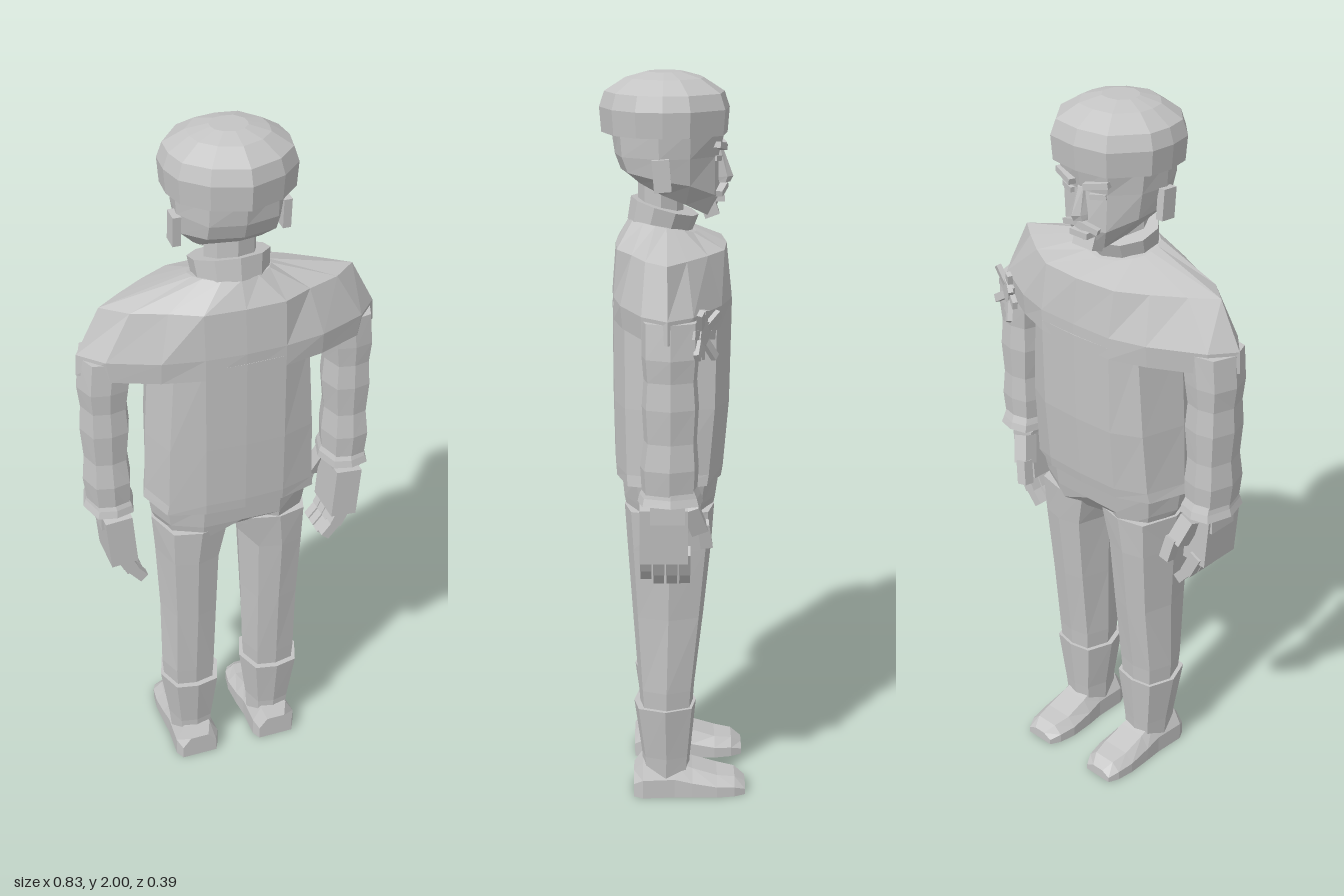
import * as THREE from 'three';

const grey = new THREE.MeshStandardMaterial({ color: 0xc4c4c4, flatShading: true });
grey.name = 'plain grey';

function part(name, geometry, parent) {
  const flat = geometry.index ? geometry.toNonIndexed() : geometry;
  flat.computeVertexNormals();
  const mesh = new THREE.Mesh(flat, grey);
  mesh.name = name;
  parent.add(mesh);
  return mesh;
}

// skin over closed rings of [x, y, z] points, capped at both ends
function loft(name, rings, parent) {
  const n = rings[0].length, pos = rings.flat(2), idx = [];
  for (let i = 0; i < rings.length - 1; i++)
    for (let j = 0; j < n; j++) {
      const a = i * n + j, b = i * n + (j + 1) % n;
      idx.push(a, b, b + n, a, b + n, a + n);
    }
  [0, rings.length - 1].forEach((r, end) => {
    const c = pos.length / 3;
    for (let k = 0; k < 3; k++) pos.push(rings[r].reduce((s, p) => s + p[k], 0) / n);
    for (let j = 0; j < n; j++) {
      const a = r * n + j, b = r * n + (j + 1) % n;
      idx.push(...(end ? [a, b, c] : [b, a, c]));
    }
  });
  const g = new THREE.BufferGeometry();
  g.setAttribute('position', new THREE.Float32BufferAttribute(pos, 3));
  g.setIndex(idx);
  return part(name, g, parent);
}

// symmetric ring from its +x half, listed from +z to -z
const both = (half) => [...half, ...half.slice(1, -1).reverse().map(([x, y, z]) => [-x, y, z])];
const level = (y, half) => both(half.map(([x, z]) => [x, y, z]));

// eight-sided ring filling x0..x1 and z0..z1
function oval(y, x0, x1, z0, z1) {
  const k = 0.5;
  return [[0, 1], [0.7, 0.85], [1, k - 0.5], [0.7, -0.85], [0, -1], [-0.7, -0.85], [-1, 0], [-0.7, 0.85]]
    .map(([u, v]) => [(x0 + x1) / 2 + u * (x1 - x0) / 2, y, (z0 + z1) / 2 + v * (z1 - z0) / 2]);
}

function box(name, size, at, rot, parent) {
  const g = new THREE.BoxGeometry(...size);
  g.applyMatrix4(new THREE.Matrix4().makeRotationFromEuler(new THREE.Euler(...rot)));
  g.translate(...at);
  return part(name, g, parent);
}

// copy of a side, mirrored in x with the corner order turned round
function mirrored(group, name) {
  const copy = new THREE.Group();
  copy.name = name;
  for (const m of group.children) {
    const g = m.geometry.clone().scale(-1, 1, 1), p = g.attributes.position;
    for (let i = 0; i < p.count; i += 3) {
      const b = new THREE.Vector3().fromBufferAttribute(p, i + 1);
      const c = new THREE.Vector3().fromBufferAttribute(p, i + 2);
      p.setXYZ(i + 1, c.x, c.y, c.z);
      p.setXYZ(i + 2, b.x, b.y, b.z);
    }
    part(m.name, g, copy);
  }
  return copy;
}

function addTorso(model) {
  const body = (y, w, zb, zf) => level(y, [[0, zb], [0.11, zb - 0.005], [w - 0.035, zb - 0.035], [w, 0.02],
    [w - 0.035, zf + 0.045], [0.12, zf + 0.005], [0, zf]]);
  loft('jacket', [body(0.94, 0.245, 0.16, -0.13), body(0.97, 0.24, 0.162, -0.135), body(1.15, 0.235, 0.165, -0.15),
    body(1.4, 0.22, 0.165, -0.155)], model);
  // shoulders spread from the chest to the sleeves
  loft('shoulders', [
    level(1.37, [[0, 0.163], [0.11, 0.16], [0.22, 0.135], [0.34, 0.085], [0.413, 0.02], [0.36, -0.04], [0.22, -0.115], [0.12, -0.15], [0, -0.153]]),
    level(1.43, [[0, 0.165], [0.11, 0.16], [0.22, 0.14], [0.35, 0.085], [0.41, 0.02], [0.36, -0.045], [0.22, -0.12], [0.12, -0.15], [0, -0.153]]),
    level(1.555, [[0, 0.155], [0.11, 0.15], [0.19, 0.11], [0.28, 0.075], [0.345, 0.02], [0.28, -0.03], [0.2, -0.085], [0.12, -0.13], [0, -0.14]]),
    both([[0, 1.62, 0.12], [0.05, 1.62, 0.11], [0.09, 1.62, 0.08], [0.105, 1.615, 0.05], [0.11, 1.61, 0.02],
      [0.105, 1.605, 0], [0.09, 1.60, -0.025], [0.05, 1.59, -0.05], [0, 1.585, -0.06]]),
  ], model);
  // collar leans forward
  const collar = new THREE.CylinderGeometry(0.108, 0.1, 0.06, 10);
  collar.scale(1, 1, 0.86).rotateX(-0.27).translate(0, 1.625, 0.032);
  part('collar', collar, model);
  const neck = new THREE.CylinderGeometry(0.07, 0.07, 0.16, 8);
  neck.scale(1, 1, 0.85).translate(0, 1.66, 0.035);
  part('neck', neck, model);
}

function addHead(model) {
  const head = new THREE.Group();
  head.name = 'head';
  loft('face', [
    both([[0, 1.72, 0.1], [0.06, 1.72, 0.09], [0.08, 1.69, 0.03], [0.075, 1.665, -0.03], [0.045, 1.635, -0.085], [0, 1.625, -0.1]]),
    both([[0, 1.75, 0.14], [0.09, 1.75, 0.12], [0.132, 1.735, 0.04], [0.12, 1.72, -0.04], [0.07, 1.69, -0.105], [0, 1.68, -0.125]]),
    level(1.79, [[0, 0.155], [0.09, 0.135], [0.142, 0.04], [0.132, -0.04], [0.075, -0.105], [0, -0.12]]),
    level(1.86, [[0, 0.165], [0.09, 0.14], [0.147, 0.04], [0.14, -0.04], [0.085, -0.115], [0, -0.135]]),
  ], head);
  const outline = [[0, 0.195], [0.095, 0.16], [0.155, 0.1], [0.17, 0.03], [0.165, -0.04], [0.095, -0.13], [0, -0.145]];
  loft('cap', [[1.845, 0.97], [1.91, 1], [1.95, 0.92], [1.985, 0.6], [2, 0.28]].map(([y, s]) =>
    level(y, outline.map(([x, z]) => [x * s, 0.025 + (z - 0.025) * s]))), head);
  // nose, moustache, lips and beard
  loft('nose', [
    level(1.715, [[0, -0.1], [0.024, -0.11], [0.018, -0.135], [0, -0.148]]),
    level(1.73, [[0, -0.1], [0.024, -0.11], [0.016, -0.14], [0, -0.156]]),
    level(1.80, [[0, -0.1], [0.012, -0.11], [0.01, -0.122], [0, -0.13]]),
  ], head);
  box('lips', [0.06, 0.016, 0.03], [0, 1.675, -0.118], [0, 0, 0], head);
  box('beard', [0.07, 0.035, 0.04], [0, 1.645, -0.095], [0.35, 0, 0], head);
  for (const s of [1, -1]) {
    box('ear', [0.022, 0.082, 0.045], [s * 0.146, 1.75, 0.033], [0.08, 0, 0], head);
    box('brow', [0.07, 0.016, 0.03], [s * 0.052, 1.815, -0.115], [0, s * -0.3, s * 0.2], head);
    box('eye', [0.045, 0.014, 0.02], [s * 0.05, 1.783, -0.108], [0, s * -0.35, s * 0.1], head);
    box('moustache', [0.06, 0.015, 0.03], [s * 0.028, 1.7, -0.12], [0, s * -0.3, s * -0.3], head);
  }
  model.add(head);
}

function makeArm() {
  const arm = new THREE.Group();
  arm.name = 'leftArm';
  loft('sleeve', [oval(0.95, 0.283, 0.4, -0.055, 0.085), oval(1.04, 0.278, 0.41, -0.06, 0.09),
    oval(1.11, 0.285, 0.403, -0.055, 0.08), oval(1.2, 0.275, 0.41, -0.06, 0.085), oval(1.27, 0.28, 0.405, -0.055, 0.08),
    oval(1.33, 0.27, 0.412, -0.06, 0.085), oval(1.42, 0.255, 0.405, -0.06, 0.085)], arm);
  loft('cuff', [oval(0.945, 0.272, 0.412, -0.072, 0.097), oval(0.965, 0.275, 0.405, -0.066, 0.092),
    oval(0.99, 0.285, 0.4, -0.055, 0.08)], arm);
  box('wrist', [0.08, 0.08, 0.09], [0.338, 0.93, 0.02], [0, 0, 0], arm);
  box('palm', [0.075, 0.15, 0.125], [0.33, 0.855, 0.03], [0, 0, -0.08], arm);
  // four fingers curl inwards
  for (let i = 0; i < 4; i++) {
    const z = 0.077 - i * 0.034, drop = i === 0 ? 0.012 : 0;
    box('fingerBase', [0.036, 0.075, 0.03], [0.318, 0.77 + drop, z], [0, 0, -0.45], arm);
    box('fingerTip', [0.028, 0.055, 0.028], [0.288, 0.722 + drop, z], [0, 0, -0.7], arm);
  }
  box('thumbBase', [0.045, 0.08, 0.045], [0.305, 0.885, -0.05], [0.35, 0, -0.3], arm);
  box('thumbTip', [0.032, 0.07, 0.032], [0.28, 0.83, -0.078], [0.15, 0, -0.2], arm);
  return arm;
}

function makeLeg() {
  const leg = new THREE.Group();
  leg.name = 'leftLeg';
  loft('trouserLeg', [oval(0.26, 0.05, 0.2, -0.05, 0.095), oval(0.33, 0.045, 0.205, -0.055, 0.1),
    oval(0.55, 0.04, 0.205, -0.08, 0.115), oval(0.75, 0.033, 0.214, -0.1, 0.128), oval(0.86, 0.005, 0.222, -0.108, 0.135)], leg);
  loft('gaiter', [oval(0.06, 0.06, 0.182, -0.04, 0.09), oval(0.12, 0.057, 0.188, -0.045, 0.092),
    oval(0.278, 0.035, 0.212, -0.06, 0.113)], leg);
  // shoe sections from heel to toe
  loft('shoe', [[0.115, 0.07, 0.175, 0.07], [0.09, 0.058, 0.188, 0.1], [0, 0.06, 0.182, 0.1], [-0.05, 0.055, 0.184, 0.08],
    [-0.12, 0.053, 0.185, 0.058], [-0.17, 0.062, 0.178, 0.05], [-0.2, 0.078, 0.165, 0.03]].map(([z, a, b, h]) =>
    [[a, 0, z], [a, h * 0.55, z], [a + 0.025, h, z], [b - 0.025, h, z], [b, h * 0.55, z], [b, 0, z]]), leg);
  return leg;
}

export function createModel() {
  const model = new THREE.Group();
  model.name = 'standingMan';
  addTorso(model);
  addHead(model);
  const hips = (y, w, zb, zf) => level(y, [[0, zb], [0.11, zb], [w - 0.03, zb - 0.04], [w, 0.015], [w - 0.03, zf + 0.04], [0.11, zf], [0, zf]]);
  loft('hips', [both([[0, 0.81, 0.06], [0.11, 0.83, 0.125], [0.18, 0.83, 0.09], [0.2, 0.83, 0.015], [0.18, 0.83, -0.06], [0.11, 0.83, -0.1], [0, 0.81, -0.05]]),
    hips(0.88, 0.222, 0.135, -0.11), hips(0.95, 0.232, 0.142, -0.12)], model);
  const arm = makeArm(), leg = makeLeg();
  model.add(arm, mirrored(arm, 'rightArm'), leg, mirrored(leg, 'rightLeg'));
  // ragged knot of cloth on one sleeve
  const knot = new THREE.Group();
  knot.name = 'sleeveKnot';
  box('knotCentre', [0.05, 0.06, 0.03], [0.33, 1.385, -0.062], [0, -0.46, 0.3], knot);
  for (let i = 0; i < 8; i++) {
    const a = i * Math.PI / 4 + 0.2, long = i % 2 ? 0.065 : 0.05;
    const g = new THREE.BoxGeometry(0.022, long, 0.014);
    g.translate(0, long * 0.75, 0).rotateX(i % 2 ? -0.25 : -0.1).rotateZ(a).rotateY(-0.46).translate(0.33, 1.38, -0.064);
    part('clothShred', g, knot);
  }
  model.add(knot);
  return model;
}
